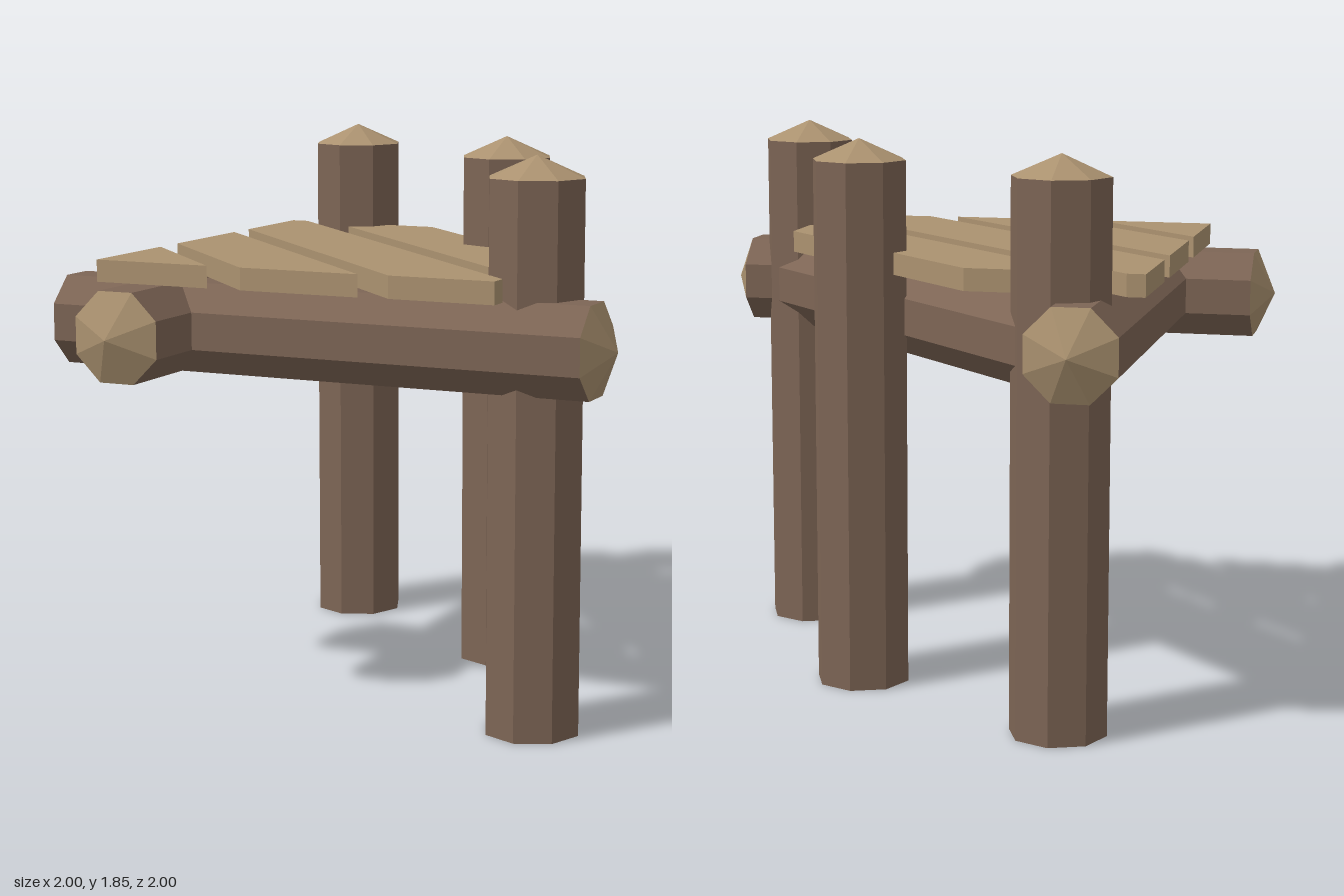
import * as THREE from 'three';

const bark = new THREE.MeshStandardMaterial({ color: 0x7d6555, flatShading: true });
const cutWood = new THREE.MeshStandardMaterial({ color: 0xab9270, flatShading: true });
const R = 0.16, TIP = 0.07, BEAM_Y = 1.26;

function mesh(name, geometry, material) {
  const m = new THREE.Mesh(geometry, material);
  m.name = name;
  return m;
}

// Eight-sided log along y, centred on its origin; pointed ends as requested
function makeLog(name, length, turn, topTip, bottomTip) {
  const log = new THREE.Group();
  log.name = name;
  log.add(mesh('trunk', new THREE.CylinderGeometry(R, R, length, 8).rotateY(turn), bark));
  const tip = () => new THREE.ConeGeometry(R, TIP, 8, 1, true).rotateY(turn).translate(0, (length + TIP) / 2, 0);
  if (topTip) log.add(mesh('topPoint', tip(), cutWood));
  if (bottomTip) log.add(mesh('endPoint', tip().rotateX(Math.PI), cutWood));
  return log;
}

export function createModel() {
  const model = new THREE.Group();
  model.name = 'cornerPlatform';

  // Upright posts
  const posts = [['backPost', -0.48, -0.71], ['cornerPost', 0.287, -0.293], ['frontPost', 0.70, 0.48]];
  for (const [name, x, z] of posts) {
    const post = makeLog(name, 1.78, 0, true, false);
    post.position.set(x, 0.89, z);
    model.add(post);
  }

  // Two crossing beams with pointed ends
  const frontBeam = makeLog('frontBeam', 1.86, Math.PI / 8, true, true);
  frontBeam.rotation.z = -Math.PI / 2;
  frontBeam.position.set(0, BEAM_Y, 0.555);
  const sideBeam = makeLog('sideBeam', 1.86, Math.PI / 8, true, true);
  sideBeam.rotation.x = Math.PI / 2;
  sideBeam.position.set(-0.555, BEAM_Y, 0);
  model.add(frontBeam, sideBeam);

  // Diagonal beam joining the back and front posts
  const a = new THREE.Vector3(-0.48, BEAM_Y, -0.71), b = new THREE.Vector3(0.70, BEAM_Y, 0.48);
  const diagonal = makeLog('diagonalBeam', a.distanceTo(b), Math.PI / 8, false, false);
  diagonal.rotation.set(Math.PI / 2, 0, -Math.atan2(b.x - a.x, b.z - a.z));
  diagonal.position.copy(a).add(b).multiplyScalar(0.5);
  model.add(diagonal);

  // Diagonal deck planks, outlines given as (x, z)
  const planks = [
    [[-0.74, 0.32], [-0.33, 0.735], [-0.74, 0.735]],
    [[-0.74, -0.21], [0.205, 0.735], [-0.21, 0.735], [-0.74, 0.205]],
    [[-0.74, -0.68], [-0.68, -0.68], [0.66, 0.66], [0.66, 0.725], [0.305, 0.725], [-0.74, -0.32]],
    [[-0.56, -0.67], [-0.16, -0.67], [0.66, 0.15], [0.66, 0.55]],
  ];
  planks.forEach((outline, i) => {
    const shape = new THREE.Shape(outline.map(([x, z]) => new THREE.Vector2(x, -z)));
    const plank = new THREE.ExtrudeGeometry(shape, { depth: 0.073, bevelEnabled: false });
    plank.rotateX(-Math.PI / 2).translate(0, 1.408, 0);
    model.add(mesh('deckPlank' + (i + 1), plank, cutWood));
  });

  return model;
}
